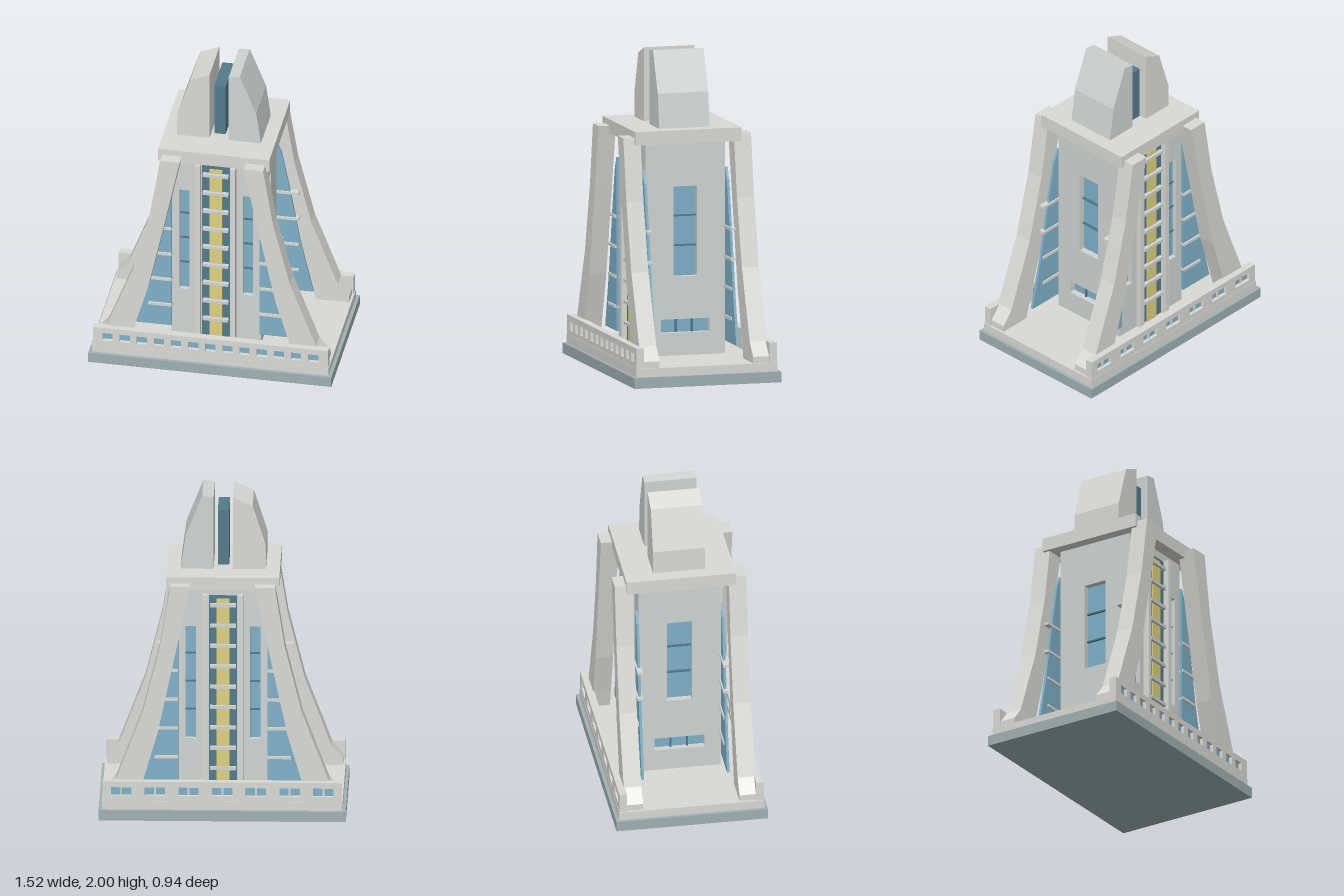
import * as THREE from 'three';

const mat = (color) => new THREE.MeshStandardMaterial({ color, flatShading: true });
const stone = mat(0xd9dad5), wallStone = mat(0xcfd4d3), plinthGrey = mat(0x9fb0b3);
const glass = mat(0x7fb0c8), darkGlass = mat(0x547a8a), yellow = mat(0xddd080);

// Box given by its limits on each axis
function box(parent, name, material, x0, x1, y0, y1, z0, z1) {
  const m = new THREE.Mesh(new THREE.BoxGeometry(x1 - x0, y1 - y0, z1 - z0), material);
  m.position.set((x0 + x1) / 2, (y0 + y1) / 2, (z0 + z1) / 2);
  m.name = name;
  parent.add(m);
  return m;
}

// Outline in x and y pushed from z0 to z1, with rectangular holes [x0, x1, y0, y1]
function slab(parent, name, material, pts, z0, z1, holes = []) {
  const shape = new THREE.Shape(pts.map(([x, y]) => new THREE.Vector2(x, y)));
  for (const [a, b, c, d] of holes) {
    shape.holes.push(new THREE.Path([[a, c], [a, d], [b, d], [b, c]].map(([x, y]) => new THREE.Vector2(x, y))));
  }
  const geo = new THREE.ExtrudeGeometry(shape, { depth: z1 - z0, bevelEnabled: false });
  const m = new THREE.Mesh(geo, material);
  m.position.z = z0;
  m.name = name;
  parent.add(m);
  return m;
}

const rect = (x0, x1, y0, y1) => [[x0, y0], [x1, y0], [x1, y1], [x0, y1]];

// Low parapet with a row of windows; wide windows get a mullion
function parapet(parent, count, step, width, mullion) {
  const holes = [];
  for (let i = 0; i < count; i++) {
    const x = (i - (count - 1) / 2) * step;
    holes.push([x - width / 2, x + width / 2, 0.155, 0.208]);
    if (mullion) box(parent, 'parapetMullion', stone, x - 0.006, x + 0.006, 0.155, 0.208, 0.425, 0.437);
  }
  slab(parent, 'parapetWall', stone, rect(-0.735, 0.735, 0.12, 0.245), 0.402, 0.45, holes);
  box(parent, 'parapetGlass', glass, -0.7, 0.7, 0.14, 0.225, 0.415, 0.428);
}

// Everything on one long face: wall, lift shaft, buttresses, glass wings
function longFace() {
  const g = new THREE.Group();
  const slots = [-1, 1].map((s) => [s * 0.2 - 0.033, s * 0.2 + 0.033, 0.465, 1.19]);
  slab(g, 'coreWall', wallStone, rect(-0.28, 0.28, 0.12, 1.45), 0.215, 0.255, slots);
  slots.forEach(([a, b, c, d]) => {
    box(g, 'slotWindow', glass, a - 0.01, b + 0.01, c - 0.01, d + 0.01, 0.205, 0.225);
    for (const y of [0.65, 0.83, 1.01]) box(g, 'slotBar', darkGlass, a, b, y - 0.005, y + 0.005, 0.225, 0.235);
  });

  // Central lift shaft with rungs
  box(g, 'shaftPanel', darkGlass, -0.087, 0.087, 0.12, 1.39, 0.25, 0.262);
  box(g, 'shaftStrip', yellow, -0.04, 0.04, 0.12, 1.37, 0.255, 0.27);
  for (let i = 0; i < 9; i++) {
    const y = 0.28 + i * 0.1315;
    box(g, 'shaftRung', wallStone, -0.08, 0.08, y - 0.01, y + 0.01, 0.255, 0.287);
  }

  for (const s of [-1, 1]) {
    const flip = (pts) => pts.map(([x, y]) => [s * x, y]);
    const span = (a, b) => (s > 0 ? [a, b] : [-b, -a]);
    box(g, 'pilaster', stone, ...span(0.095, 0.125), 0.12, 1.4, 0.25, 0.295);

    // Curved buttress with a small toe
    slab(g, 'buttress', stone, flip([
      [0.52, 0.12], [0.725, 0.12], [0.725, 0.16], [0.655, 0.245], [0.49, 0.68],
      [0.385, 1.1], [0.322, 1.49], [0.2, 1.49], [0.285, 1.08], [0.4, 0.54], [0.487, 0.245],
    ]), 0.3, 0.41);

    // Glass wing behind the buttress
    slab(g, 'glassWing', glass, flip([
      [0.275, 0.2], [0.51, 0.2], [0.43, 0.55], [0.36, 0.95], [0.31, 1.2], [0.275, 1.28],
    ]), 0.258, 0.274);
    for (const y of [0.352, 0.538, 0.723, 0.91]) {
      box(g, 'wingRung', stone, ...span(0.275, 0.42), y - 0.009, y + 0.009, 0.25, 0.284);
    }
  }
  return g;
}

// Short side of the core with two window openings
function shortFace() {
  const g = new THREE.Group();
  const holes = [[-0.077, 0.077, 0.61, 1.17], [-0.156, 0.156, 0.26, 0.345]];
  slab(g, 'sideWall', wallStone, rect(-0.254, 0.254, 0.12, 1.45), 0.23, 0.28, holes);
  for (const [a, b, c, d] of holes) {
    box(g, 'sideWindow', glass, a - 0.01, b + 0.01, c - 0.01, d + 0.01, 0.222, 0.24);
  }
  for (const y of [0.8, 0.985]) box(g, 'sideWindowBar', darkGlass, -0.077, 0.077, y - 0.005, y + 0.005, 0.24, 0.255);
  for (const x of [-0.052, 0.052]) box(g, 'sideWindowBar', darkGlass, x - 0.005, x + 0.005, 0.26, 0.345, 0.24, 0.255);
  return g;
}

export function createModel() {
  const model = new THREE.Group();
  model.name = 'tower';

  // Base
  box(model, 'plinth', plinthGrey, -0.76, 0.76, 0, 0.066, -0.472, 0.472);
  box(model, 'terrace', stone, -0.74, 0.74, 0.066, 0.12, -0.452, 0.452);

  // Faces on opposite sides
  for (const k of [0, 1]) {
    const face = longFace();
    face.name = k ? 'backFace' : 'frontFace';
    if (k) parapet(face, 7, 0.207, 0.125, true);
    else parapet(face, 13, 0.1072, 0.064, false);
    face.rotation.y = k * Math.PI;

    const side = shortFace();
    side.name = k ? 'rightFace' : 'leftFace';
    side.rotation.y = k ? -Math.PI / 2 : Math.PI / 2;
    model.add(face, side);
  }

  // Roof slab and split crown
  box(model, 'roofSlab', stone, -0.348, 0.348, 1.445, 1.53, -0.34, 0.34);
  slab(model, 'rightCrown', stone, [
    [-0.262, 1.53], [-0.06, 1.53], [-0.06, 1.99], [-0.18, 1.94], [-0.262, 1.68],
  ], -0.162, 0.162);
  slab(model, 'leftCrown', wallStone, [
    [0.06, 1.53], [0.262, 1.53], [0.232, 1.745], [0.13, 2.0], [0.06, 1.99],
  ], -0.162, 0.162);
  box(model, 'crownGlass', darkGlass, -0.035, 0.035, 1.55, 1.9, -0.132, 0.132);

  return model;
}
